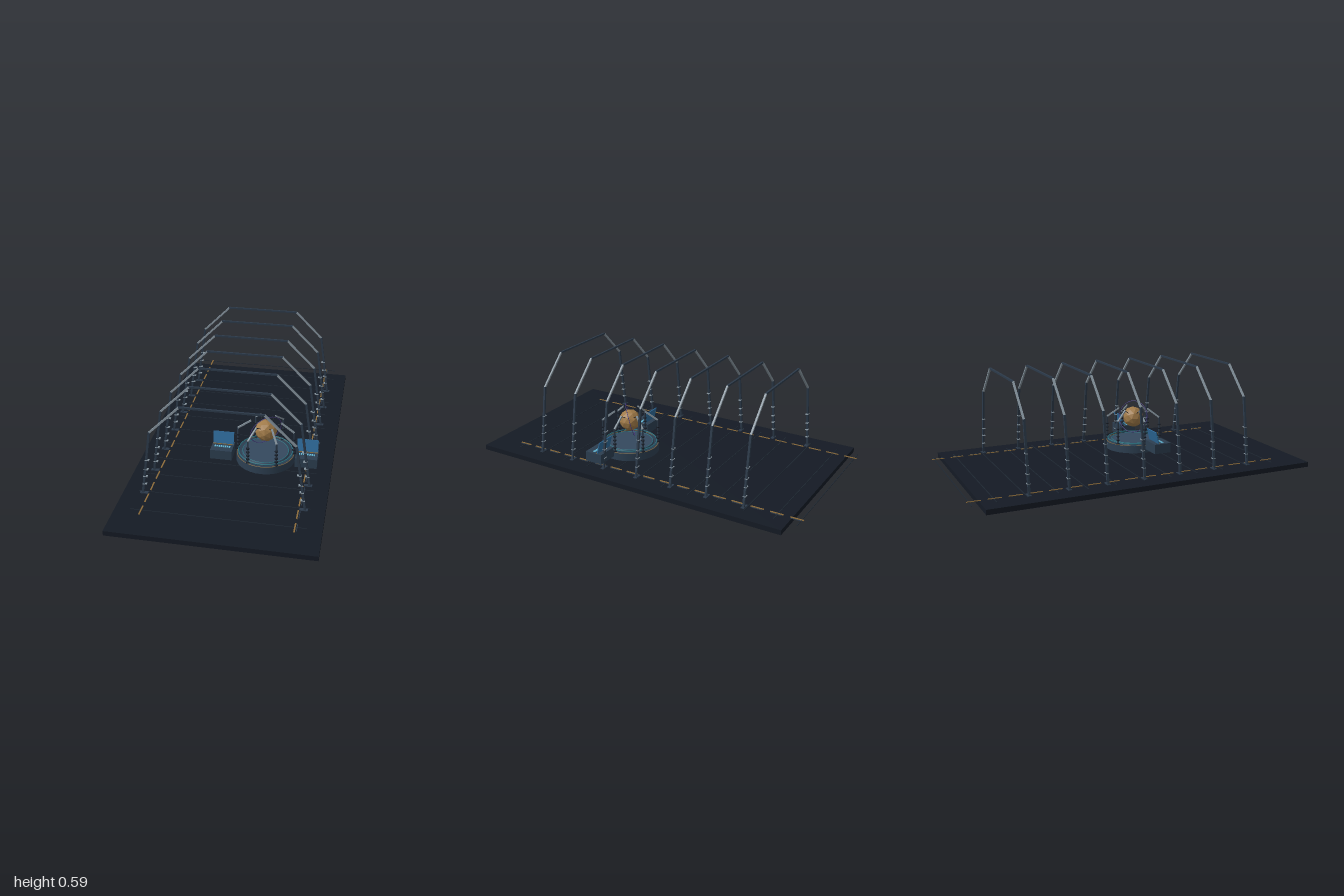
import * as THREE from 'three';

const mat = (color, extra = {}) => {
  const m = new THREE.MeshStandardMaterial(extra);
  m.color.set(color);
  return m;
};
const floorMat = mat(0x141a24), seamMat = mat(0x1e2732), darkMat = mat(0x2c3a4a);
const steelMat = mat(0x84929c), blackMat = mat(0x161c26), brownMat = mat(0x8a6a3a);
const baseMat = mat(0x2c3e50), deckMat = mat(0x34495e), tealMat = mat(0x2a7080);
const screenMat = mat(0x2d6a9a), keyMat = mat(0x62b8d8), purpleMat = mat(0x4a3c84);
const coreMat = mat(0xa07a48);
coreMat.flatShading = true;

function add(parent, name, geo, material, x = 0, y = 0, z = 0) {
  const m = new THREE.Mesh(geo, material);
  m.name = name;
  m.position.set(x, y, z);
  parent.add(m);
  return m;
}
const box = (w, h, d) => new THREE.BoxGeometry(w, h, d);

// A square bar or round rod running from a to b
function bar(parent, name, a, b, size, material, round = false) {
  const p = new THREE.Vector3(...a), q = new THREE.Vector3(...b);
  const len = p.distanceTo(q);
  const geo = round ? new THREE.CylinderGeometry(size / 2, size / 2, len, 8) : box(size, len, size);
  const m = add(parent, name, geo, material);
  m.position.copy(p).add(q).multiplyScalar(0.5);
  m.quaternion.setFromUnitVectors(new THREE.Vector3(0, 1, 0), q.sub(p).normalize());
  return m;
}

// One hangar rib: leaning legs, sloped shoulders, flat top beam
function makeArch(z) {
  const g = new THREE.Group();
  g.name = 'archRib';
  g.position.z = z;
  for (const s of [-1, 1]) {
    bar(g, 'archLeg', [s * 0.442, 0.03, 0], [s * 0.385, 0.42, 0], 0.012, darkMat);
    bar(g, 'archShoulder', [s * 0.387, 0.416, 0], [s * 0.22, 0.584, 0], 0.01, steelMat);
    for (const y of [0.09, 0.14, 0.185, 0.245]) {
      const x = 0.442 - (y - 0.03) * 0.146;
      add(g, 'legBracket', box(0.024, 0.004, 0.016), steelMat, s * (x - 0.005), y, 0);
    }
    add(g, 'archFoot', box(0.045, 0.004, 0.02), darkMat, s * 0.435, 0.031, 0);
  }
  add(g, 'archTopBeam', box(0.444, 0.01, 0.01), darkMat, 0, 0.584, 0);
  return g;
}

// Low console with a keyboard and a screen leaning back
function makeConsole(x) {
  const g = new THREE.Group();
  g.name = 'console';
  g.position.set(x, 0, 0.252);
  add(g, 'consoleBody', box(0.125, 0.058, 0.105), baseMat, 0, 0.093, 0);
  add(g, 'consoleTrim', box(0.12, 0.003, 0.004), brownMat, 0, 0.1235, -0.02);
  const s = add(g, 'consoleScreen', box(0.12, 0.072, 0.005), screenMat, 0, 0.159, -0.034);
  s.rotation.x = -0.25;
  for (let i = 0; i < 8; i++)
    add(g, 'key', box(0.008, 0.004, 0.014), keyMat, -0.042 + i * 0.012, 0.1235, 0.006);
  return g;
}

// Round platform with six curved-in emitter posts around a floating core
function makeReactor() {
  const g = new THREE.Group();
  g.name = 'reactor';
  g.position.set(0.163, 0, 0.203);
  add(g, 'platformBase', new THREE.CylinderGeometry(0.168, 0.17, 0.044, 32), baseMat, 0, 0.06, 0);
  add(g, 'platformDeck', new THREE.CylinderGeometry(0.135, 0.14, 0.01, 32), deckMat, 0, 0.086, 0);
  for (const [r, t, y, m, name] of [
    [0.156, 0.0035, 0.094, tealMat, 'outerRing'],
    [0.132, 0.0025, 0.091, tealMat, 'innerRing'],
    [0.165, 0.002, 0.082, brownMat, 'rimRing'],
  ]) add(g, name, new THREE.TorusGeometry(r, t, 6, 48), m, 0, y, 0).rotation.x = Math.PI / 2;

  for (let i = 0; i < 6; i++) {
    const post = new THREE.Group();
    post.name = 'emitterPost';
    post.rotation.y = i * Math.PI / 3;
    g.add(post);
    bar(post, 'postColumn', [0.162, 0.08, 0], [0.162, 0.228, 0], 0.01, darkMat, true);
    bar(post, 'postArm', [0.162, 0.225, 0], [0.087, 0.28, 0], 0.009, steelMat);
    bar(post, 'emitterTip', [0.088, 0.279, 0], [0.05, 0.256, 0], 0.004, blackMat, true);
    for (const y of [0.088, 0.11, 0.133, 0.156, 0.18])
      add(post, 'postCollar', new THREE.CylinderGeometry(0.01, 0.01, 0.005, 10), blackMat, 0.162, y, 0);
  }

  add(g, 'core', new THREE.IcosahedronGeometry(0.064, 1), coreMat, 0, 0.226, 0);
  const ring = add(g, 'coreRing', new THREE.TorusGeometry(0.097, 0.002, 6, 48), purpleMat, 0, 0.227, 0);
  ring.quaternion.setFromUnitVectors(
    new THREE.Vector3(0, 0, 1), new THREE.Vector3(0.56, -0.25, 0.78).normalize());
  return g;
}

export function createModel() {
  const model = new THREE.Group();
  model.name = 'hangarBay';

  // Floor slab with cross seams
  add(model, 'floorSlab', box(1.1, 0.028, 1.935), floorMat, 0, 0.014, 0.0325);
  const seams = [-0.985];
  for (let i = 0; i < 11; i++) seams.push(-0.857 + i * 0.1655);
  for (const z of seams) add(model, 'floorSeam', box(0.94, 0.003, 0.004), seamMat, 0, 0.029, z);

  // Dashed guide lines along both sides
  for (let i = 0; i < 17; i++) {
    const z = 0.8 - i * 0.11;
    for (const s of [-1, 1])
      add(model, 'guideDash', box(0.008, 0.003, 0.075), brownMat, s * 0.408, 0.0295, z);
    add(model, 'sideDash', box(0.004, 0.003, 0.06), darkMat, 0.419, 0.0295, z);
  }

  for (let i = 0; i < 7; i++) model.add(makeArch(0.645 - i * 0.2205));
  model.add(makeReactor());
  for (const s of [-1, 1]) model.add(makeConsole(0.163 + s * 0.243));
  return model;
}
